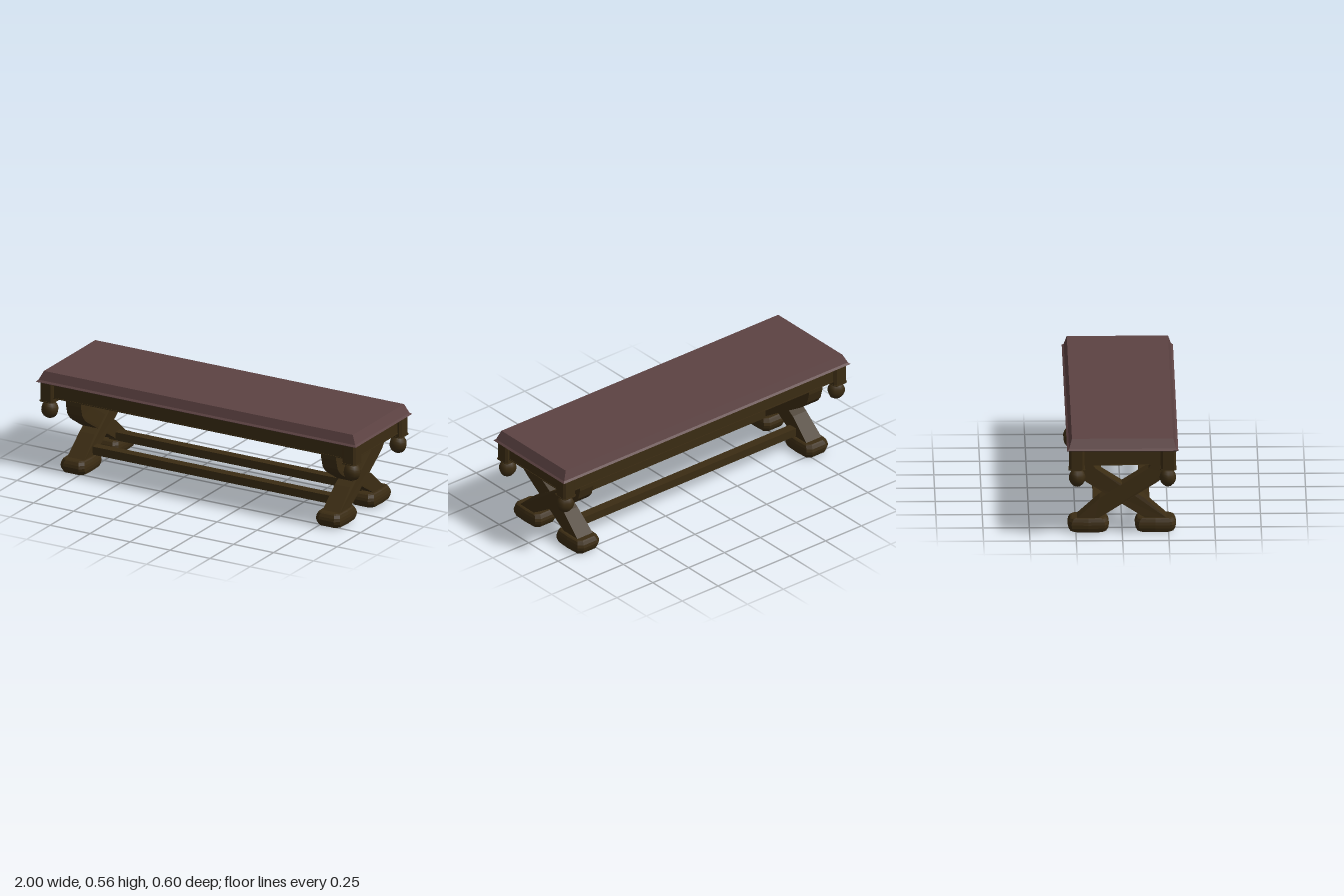
import * as THREE from 'three';

const wood = new THREE.MeshStandardMaterial({ color: 0x3b2c13, flatShading: true });
const roundWood = new THREE.MeshStandardMaterial({ color: 0x3b2c13 });
const topWood = new THREE.MeshStandardMaterial({ color: 0x5c4242, flatShading: true });

// Closed solid from stacked convex rings: [[y, [[x, z], ...]], ...], bottom to top
function loft(rings) {
  const n = rings[0][1].length, pos = [], index = [];
  for (const [y, pts] of rings) for (const [x, z] of pts) pos.push(x, y, z);
  for (let r = 0; r < rings.length - 1; r++) {
    for (let i = 0; i < n; i++) {
      const j = (i + 1) % n, a = r * n + i, b = r * n + j;
      index.push(a, a + n, b, b, a + n, b + n);
    }
  }
  const last = (rings.length - 1) * n;
  for (let i = 1; i < n - 1; i++) {
    index.push(0, i, i + 1, last, last + i + 1, last + i);
  }
  const g = new THREE.BufferGeometry();
  g.setAttribute('position', new THREE.Float32BufferAttribute(pos, 3));
  g.setIndex(index);
  const flat = g.toNonIndexed();
  flat.computeVertexNormals();
  return flat;
}

// Plans with half sizes a (x) and b (z): rectangle, cut-corner rectangle, foot with ridged sides
const rect = (a, b) => [[a, -b], [a, b], [-a, b], [-a, -b]];
const cutRect = (a, b, c) => [
  [a, -b + c], [a, b - c], [a - c, b], [-a + c, b],
  [-a, b - c], [-a, -b + c], [-a + c, -b], [a - c, -b],
];
const footPlan = (a, b) => [
  [a, 0], [a * 0.94, b - 0.02], [a * 0.6, b], [-a * 0.6, b], [-a * 0.94, b - 0.02],
  [-a, 0], [-a * 0.94, -b + 0.02], [-a * 0.6, -b], [a * 0.6, -b], [a * 0.94, -b + 0.02],
];

function add(parent, name, geometry, material, x = 0, y = 0, z = 0) {
  const mesh = new THREE.Mesh(geometry, material);
  mesh.name = name;
  mesh.position.set(x, y, z);
  parent.add(mesh);
}

// Bent diagonal leg, drawn in (z, y), flaring sideways near the foot
function legGeometry(dir) {
  const profile = [
    [0.255, 0.07], [0.12, 0.192], [-0.144, 0.359], [-0.162, 0.386], [-0.17, 0.43],
    [-0.26, 0.43], [-0.26, 0.39], [-0.245, 0.335], [-0.22, 0.304], [-0.193, 0.283], [0.098, 0.099], [0.148, 0.07],
  ];
  const shape = new THREE.Shape(profile.map(([z, y]) => new THREE.Vector2(z * dir, y)));
  const g = new THREE.ExtrudeGeometry(shape, { depth: 0.094, bevelEnabled: false });
  g.translate(0, 0, -0.047).rotateY(-Math.PI / 2);
  const p = g.attributes.position;
  for (let i = 0; i < p.count; i++) {
    if (p.getY(i) < 0.11) p.setX(i, p.getX(i) * 1.15);
  }
  g.computeVertexNormals();
  return g;
}

export function createModel() {
  const table = new THREE.Group();
  table.name = 'table';

  // Bevelled top slab
  add(table, 'top', loft([
    [0.501, rect(0.993, 0.293)], [0.506, rect(1, 0.3)],
    [0.515, rect(0.99, 0.289)], [0.565, rect(0.965, 0.273)],
  ]), topWood);

  // Solid apron block with a thin lower moulding
  add(table, 'apron', new THREE.BoxGeometry(1.93, 0.086, 0.54), wood, 0, 0.46, 0);
  add(table, 'moulding', new THREE.BoxGeometry(1.936, 0.005, 0.546), wood, 0, 0.4185, 0);

  // Corner posts, each with a collar and a ball drop
  const postGeo = loft([[0.395, cutRect(0.041, 0.041, 0.012)], [0.504, cutRect(0.041, 0.041, 0.012)]]);
  const collarGeo = loft([[0.392, cutRect(0.043, 0.045, 0.01)], [0.397, cutRect(0.043, 0.045, 0.01)]]);
  const ballGeo = new THREE.SphereGeometry(1, 8, 12);
  ballGeo.scale(0.05, 0.051, 0.0445);
  for (const sx of [1, -1]) for (const sz of [1, -1]) {
    const corner = new THREE.Group();
    corner.name = 'corner';
    corner.position.set(sx * 0.945, 0, sz * 0.2465);
    table.add(corner);
    add(corner, 'post', postGeo, wood);
    add(corner, 'collar', collarGeo, wood);
    add(corner, 'ballDrop', ballGeo, roundWood, 0, 0.342, -sz * 0.002);
  }

  // Crossed legs standing on rounded feet
  const footGeo = loft([
    [0.001, footPlan(0.055, 0.08)], [0.008, footPlan(0.072, 0.097)],
    [0.028, footPlan(0.079, 0.107)], [0.046, footPlan(0.08, 0.111)],
    [0.062, footPlan(0.077, 0.107)], [0.078, footPlan(0.071, 0.098)],
    [0.083, footPlan(0.064, 0.09)],
  ]);
  for (const x of [0.808, -0.788]) {
    const trestle = new THREE.Group();
    trestle.name = 'crossedLegs';
    trestle.position.set(x, 0, -0.002);
    table.add(trestle);
    for (const s of [1, -1]) {
      add(trestle, 'leg', legGeometry(s), wood, s * 0.002);
      add(trestle, 'foot', footGeo, wood, 0, 0, s * 0.181);
    }
  }

  // Long stretchers between the leg pairs
  for (const s of [1, -1]) {
    add(table, 'stretcher', new THREE.BoxGeometry(1.58, 0.046, 0.052), wood, 0.01, 0.11, s * 0.126 - 0.002);
  }
  return table;
}
